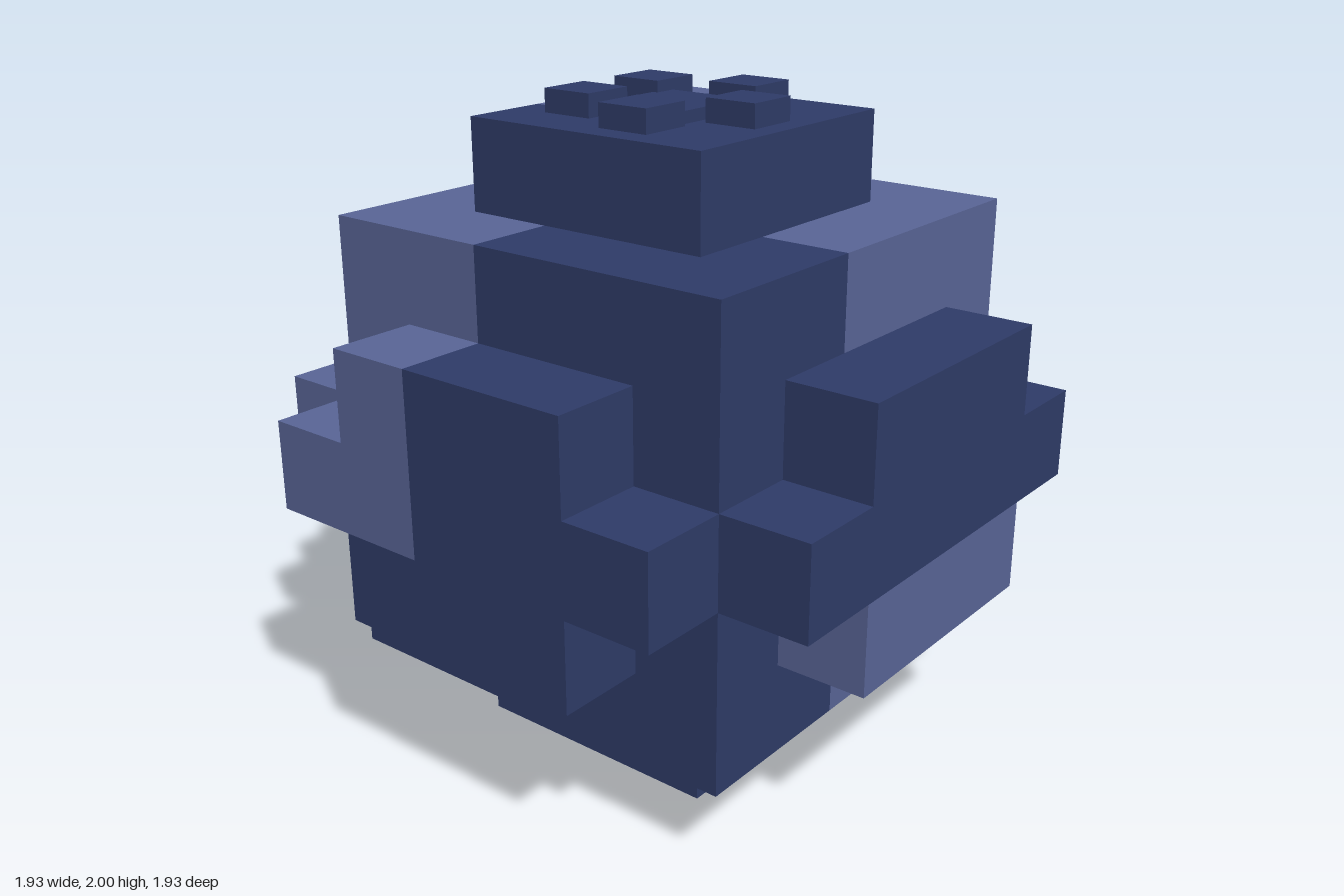
import * as THREE from 'three';

const U = 0.2757; // edge of one block

export function createModel() {
  const model = new THREE.Group();
  model.name = 'blockBerry';
  const light = new THREE.MeshStandardMaterial({ color: 0x5a6698 });
  light.name = 'light blue skin';
  const dark = new THREE.MeshStandardMaterial({ color: 0x2f3c69 });
  dark.name = 'dark blue skin';

  const part = (name) => {
    const g = new THREE.Group();
    g.name = name;
    model.add(g);
    return g;
  };
  // Box from ranges given in blocks
  const box = (group, name, mat, [x0, x1], [y0, y1], [z0, z1]) => {
    const geo = new THREE.BoxGeometry((x1 - x0) * U, (y1 - y0) * U, (z1 - z0) * U);
    const mesh = new THREE.Mesh(geo, mat);
    mesh.position.set((x0 + x1) / 2 * U, (y0 + y1) / 2 * U, (z0 + z1) / 2 * U);
    mesh.name = name;
    group.add(mesh);
  };

  // Layer of the body split into four colour patches: [backRight, backLeft, frontRight, frontLeft]
  const layer = (name, half, y, mats) => {
    const g = part(name);
    const xs = [[-half, -0.5], [-0.5, half]];
    const zs = [[-half, 0.5], [0.5, half]];
    mats.forEach((m, i) => box(g, name + 'Patch', m, xs[i % 2], y, zs[i >> 1]));
  };
  layer('bottomSlab', 1.5, [0, 1], [dark, light, dark, dark]);
  layer('lowerBody', 2.5, [1, 3], [dark, light, dark, dark]);
  layer('upperBody', 2.5, [3, 6], [light, light, light, dark]);
  layer('topSlab', 1.5, [6, 7], [light, dark, dark, dark]);

  // Cross-shaped bulges on the two sides
  for (const [name, x, upper, lower] of [
    ['leftBulge', [2.5, 3.5], dark, light],
    ['rightBulge', [-3.5, -2.5], light, dark],
  ]) {
    const g = part(name);
    box(g, 'bulgeTop', upper, x, [4, 5], [-1.5, 1.5]);
    box(g, 'bulgeBar', upper, x, [3, 4], [-2.5, 2.5]);
    box(g, 'bulgeBottom', lower, x, [2, 3], [-1.5, 1.5]);
  }

  // Back bulge, one colour
  const back = part('backBulge');
  box(back, 'bulgePlate', light, [-1.5, 1.5], [2, 5], [-3.5, -2.5]);
  for (const x of [[-2.5, -1.5], [1.5, 2.5]]) box(back, 'bulgeBarEnd', light, x, [3, 4], [-3.5, -2.5]);

  // Front bulge with a light upper corner
  const front = part('frontBulge');
  const z = [2.5, 3.5];
  box(front, 'bulgeLightCorner', light, [-1.5, -0.5], [3, 5], z);
  box(front, 'bulgeLightBarEnd', light, [-2.5, -1.5], [3, 4], z);
  box(front, 'bulgeDarkSide', dark, [-0.5, 1.5], [3, 5], z);
  box(front, 'bulgeDarkBarEnd', dark, [1.5, 2.5], [3, 4], z);
  box(front, 'bulgeBottom', dark, [-1.5, 1.5], [2, 3], z);

  // Crown: low centre plate ringed by five square lobes
  const crown = part('crown');
  const block = (name, w, h, x, zc) => {
    const mesh = new THREE.Mesh(new THREE.BoxGeometry(w, h, w), dark);
    mesh.position.set(x, 7 * U + h / 2, zc);
    mesh.name = name;
    crown.add(mesh);
  };
  block('crownCentre', 0.283, 0.036, 0, -0.002);
  for (let i = 0; i < 5; i++) {
    const a = (i * 2 * Math.PI) / 5;
    block('crownLobe', 0.168, 0.07, 0.257 * Math.cos(a), 0.26 * Math.sin(a) - 0.002);
  }
  return model;
}
